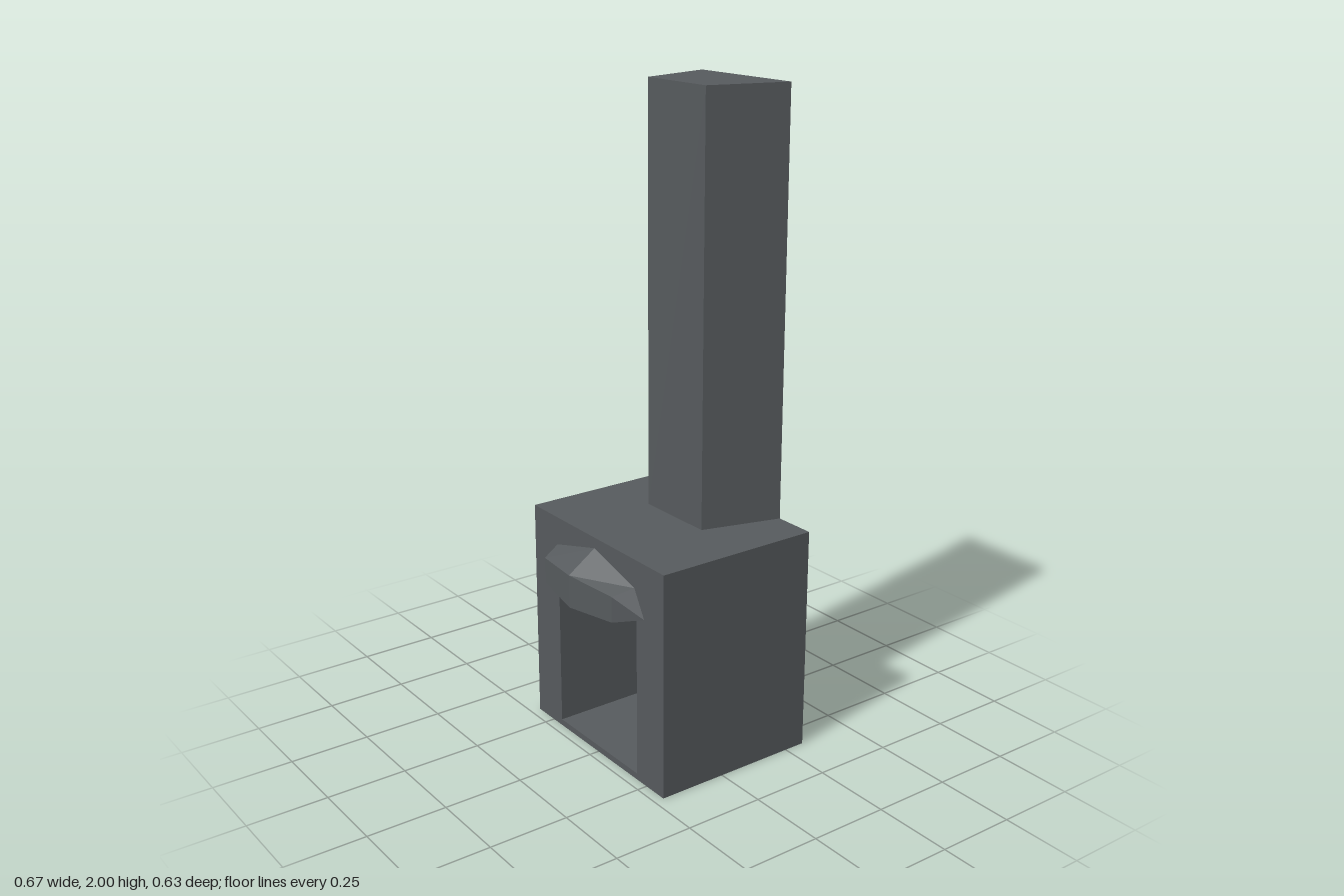
import * as THREE from 'three';

const stone = new THREE.MeshStandardMaterial({ color: 0x565a5d, flatShading: true, side: THREE.DoubleSide });
stone.name = 'dark grey stone';

// Thin shell from a list of polygons (each fanned into triangles)
function shell(name, faces) {
  const pos = [];
  for (const f of faces)
    for (let i = 1; i < f.length - 1; i++) pos.push(...f[0], ...f[i], ...f[i + 1]);
  const g = new THREE.BufferGeometry();
  g.setAttribute('position', new THREE.Float32BufferAttribute(pos, 3));
  g.computeVertexNormals();
  const mesh = new THREE.Mesh(g, stone);
  mesh.name = name;
  return mesh;
}

// Upright walls along a path of [x, z] points
const walls = (path, y0, y1) => path.slice(1).map(([bx, bz], i) => {
  const [ax, az] = path[i];
  return [[ax, y0, az], [bx, y0, bz], [bx, y1, bz], [ax, y1, az]];
});

// Flat cover over the path, facing up
const cover = (path, y) => path.map(([x, z]) => [x, y, z]);

const BACK = -0.317, FRONT = 0.218, W = 0.333, TOP = 0.705;
const OPEN_W = 0.203, OPEN_LOW = 0.02, OPEN_HIGH = 0.555, NICHE = -0.248;

export function createModel() {
  const group = new THREE.Group();
  group.name = 'fireplace';

  // Hearth block: sides and top, open at the back and underneath
  const left = [[W, FRONT], [W, BACK]], right = [[-W, BACK], [-W, FRONT]];
  group.add(shell('hearthShell', [
    ...walls(left, 0, TOP), ...walls(right, 0, TOP), cover([...left, ...right], TOP),
  ]));

  // Front wall with the fire opening cut out
  const front = new THREE.Shape([[-W, 0], [W, 0], [W, TOP], [-W, TOP]].map(p => new THREE.Vector2(...p)));
  front.holes.push(new THREE.Path([[-OPEN_W, OPEN_LOW], [-OPEN_W, OPEN_HIGH], [OPEN_W, OPEN_HIGH], [OPEN_W, OPEN_LOW]]
    .map(p => new THREE.Vector2(...p))));
  const frontWall = new THREE.Mesh(new THREE.ShapeGeometry(front), stone);
  frontWall.name = 'frontWall';
  frontWall.position.z = FRONT;
  group.add(frontWall);

  // Firebox niche, open to the front; walls face inward
  const niche = [[-OPEN_W, FRONT], [-OPEN_W, NICHE], [OPEN_W, NICHE], [OPEN_W, FRONT]];
  group.add(shell('firebox', [
    ...walls(niche, OPEN_LOW, OPEN_HIGH),
    cover([...niche].reverse(), OPEN_LOW),
    cover(niche, OPEN_HIGH),
  ]));

  // Tapered chimney, open at the back
  const flue = [[-0.2, BACK], [-0.133, -0.07], [0.133, -0.07], [0.2, BACK]];
  group.add(shell('chimney', [...walls(flue, TOP, 2), cover(flue, 2)]));

  // Faceted mantel: one half, mirrored in x
  const Z = 0.223;
  const ridge = [0, 0.675, Z], nose = [0, 0.612, 0.314], keel = [0, 0.51, 0.314], keelBack = [0, 0.51, Z];
  const shoulder = [0.2, 0.62, Z], tip = [0.247, 0.538, Z], brow = [0.175, 0.6, 0.285], chin = [0.175, 0.52, 0.285];
  const half = [
    [nose, brow, shoulder, ridge],
    [nose, keel, chin, brow],
    [brow, chin, tip, shoulder],
    [keel, keelBack, tip, chin],
    [ridge, shoulder, tip, keelBack],
  ];
  const mirrored = half.map(f => f.map(([x, y, z]) => [-x, y, z]).reverse());
  group.add(shell('mantel', [...half, ...mirrored]));

  return group;
}
